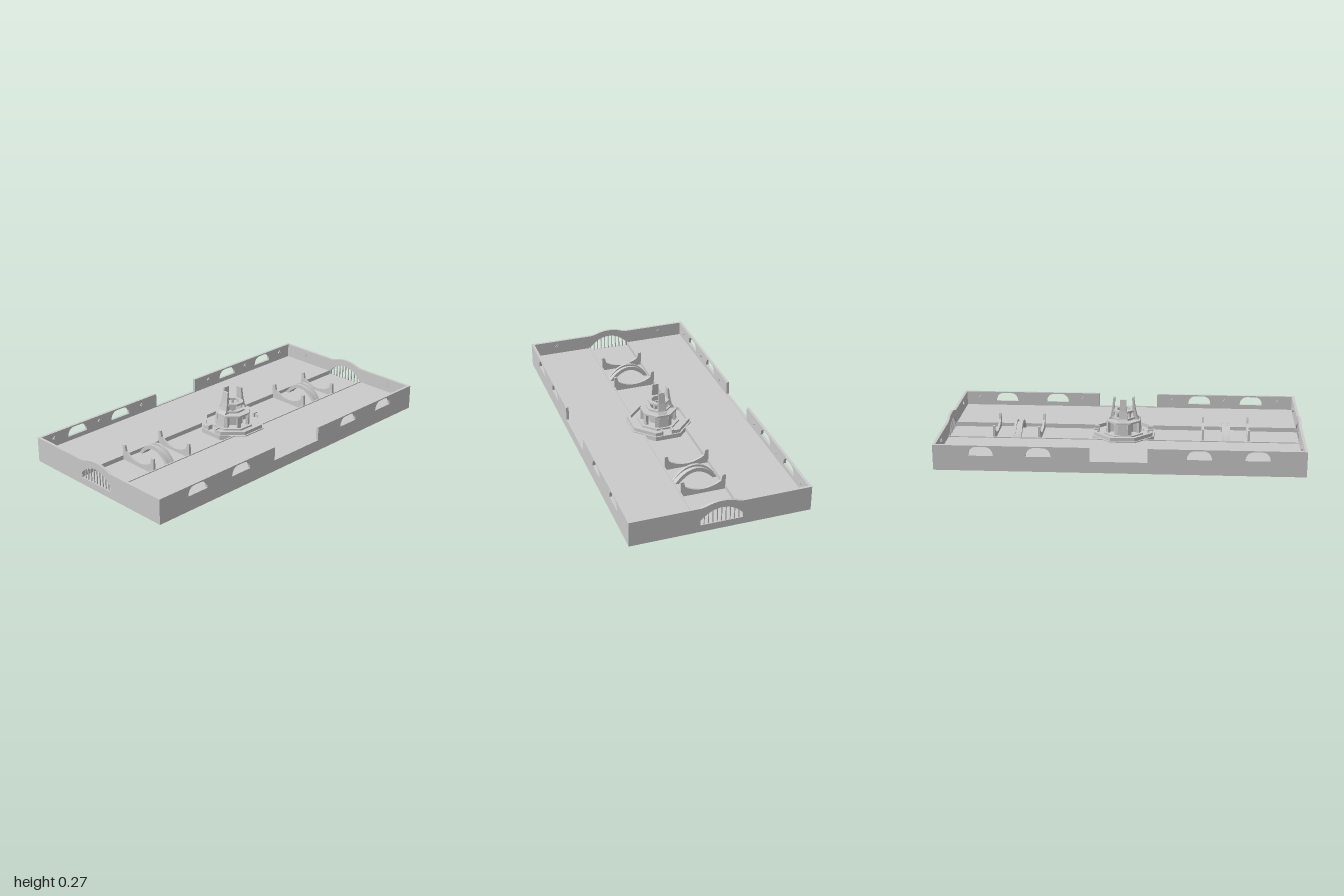
import * as THREE from 'three';

const material = new THREE.MeshStandardMaterial({ color: 0xcccccc, flatShading: true });
const T = 0.4142; // tan of 22.5 degrees

export function createModel() {
  const model = new THREE.Group();

  const add = (name, geometry, parent = model) => {
    const mesh = new THREE.Mesh(geometry, material);
    mesh.name = name;
    parent.add(mesh);
    return mesh;
  };
  const box = (name, w, h, d, x, y, z, parent) => {
    const mesh = add(name, new THREE.BoxGeometry(w, h, d), parent);
    mesh.position.set(x, y, z);
    return mesh;
  };
  const shapeOf = (pts) => new THREE.Shape(pts.map(([x, y]) => new THREE.Vector2(x, y)));
  const extrude = (shape, depth) =>
    new THREE.ExtrudeGeometry(shape, { depth, bevelEnabled: false, curveSegments: 10 });
  // Profile drawn across z and y, centred on x
  const across = (shape, width) => extrude(shape, width).translate(0, 0, -width / 2).rotateY(Math.PI / 2);
  // Plan drawn in x and z, rising from y0 to y1
  const upright = (shape, y0, y1) => extrude(shape, y1 - y0).rotateX(-Math.PI / 2).translate(0, y0, 0);
  const octagon = (a) => [[a, -a * T], [a, a * T], [a * T, a], [-a * T, a],
    [-a, a * T], [-a, -a * T], [-a * T, -a], [a * T, -a]];
  const octRing = (outer, inner, y0, y1) => {
    const shape = shapeOf(octagon(outer));
    if (inner) shape.holes.push(shapeOf(octagon(inner)));
    return upright(shape, y0, y1);
  };

  // Base slab with a sunken channel between two decks
  box('baseSlab', 1.98, 0.04, 0.97, 0, 0.02, 0);
  for (const s of [-1, 1]) {
    box('deck', 1.98, 0.02, 0.355, 0, 0.05, s * 0.3075);
    box('channelCurb', 1.97, 0.025, 0.008, 0, 0.0525, s * 0.126);
  }

  // Long walls: notched in the middle, with arched windows
  const windowHole = (x) => {
    const h = new THREE.Path();
    h.moveTo(x - 0.067, 0.085);
    h.lineTo(x + 0.067, 0.085);
    h.lineTo(x + 0.065, 0.1);
    h.quadraticCurveTo(x + 0.055, 0.135, x + 0.02, 0.135);
    h.lineTo(x - 0.02, 0.135);
    h.quadraticCurveTo(x - 0.055, 0.135, x - 0.065, 0.1);
    h.closePath();
    return h;
  };
  for (const s of [-1, 1]) {
    const gap = s > 0 ? 0.175 : 0.155;
    const wall = shapeOf([[-1, 0], [1, 0], [1, 0.142], [gap, 0.142], [gap, 0.064],
      [-gap, 0.064], [-gap, 0.142], [-1, 0.142]]);
    for (const x of [-0.74, -0.43, 0.43, 0.74]) wall.holes.push(windowHole(x));
    add(s > 0 ? 'frontWall' : 'backWall', extrude(wall, 0.015)).position.z = s > 0 ? 0.48 : -0.495;
  }

  // End walls: raised crown over a barred arch
  for (const s of [-1, 1]) {
    const wall = shapeOf([[-0.495, 0], [0.495, 0], [0.495, 0.142], [0.115, 0.142]]);
    wall.bezierCurveTo(0.075, 0.147, 0.06, 0.165, 0, 0.165);
    wall.bezierCurveTo(-0.06, 0.165, -0.075, 0.147, -0.115, 0.142);
    wall.lineTo(-0.495, 0.142);
    const arch = new THREE.Path();
    arch.moveTo(-0.115, 0.04);
    arch.lineTo(0.115, 0.04);
    arch.lineTo(0.115, 0.07);
    arch.bezierCurveTo(0.07, 0.115, 0.035, 0.126, 0, 0.126);
    arch.bezierCurveTo(-0.035, 0.126, -0.07, 0.115, -0.115, 0.07);
    arch.closePath();
    wall.holes.push(arch);
    add('endWall', across(wall, 0.015)).position.x = s * 0.9925;
    for (let i = -4; i <= 4; i++) {
      const z = i * 0.0235;
      const h = 0.088 - 3.8 * z * z;
      box('grilleBar', 0.006, h, 0.005, s * 0.9925, 0.04 + h / 2, z);
    }
  }

  // Small fittings along the inside of the walls
  const fitting = (x, z, turn) => {
    const holder = new THREE.Group();
    holder.name = 'wallFitting';
    holder.position.set(x, 0.108, z);
    holder.rotation.y = turn;
    box('fittingPlate', 0.02, 0.02, 0.006, 0, 0, 0, holder).rotation.z = Math.PI / 4;
    box('fittingKnob', 0.008, 0.008, 0.01, 0, 0, 0, holder);
    model.add(holder);
  };
  for (const s of [-1, 1]) {
    for (const x of [-0.9, -0.585, -0.27, 0.27, 0.585, 0.9]) fitting(x, s * 0.477, 0);
    for (const z of [-0.335, 0.335]) fitting(s * 0.982, z, Math.PI / 2);
  }

  // Channel stations: a ribbed arch between two cradles
  const cradle = shapeOf([[-0.125, 0.04], [0.125, 0.04], [0.125, 0.128], [0.108, 0.128], [0.1, 0.095]]);
  cradle.quadraticCurveTo(0.06, 0.066, 0, 0.064);
  cradle.quadraticCurveTo(-0.06, 0.066, -0.1, 0.095);
  cradle.lineTo(-0.108, 0.128);
  cradle.lineTo(-0.125, 0.128);
  const archBand = (rise, thick) => {
    const s = shapeOf([[-0.122, 0.04]]);
    s.quadraticCurveTo(-0.065, rise, 0, rise);
    s.quadraticCurveTo(0.065, rise, 0.122, 0.04);
    s.lineTo(0.1, 0.04);
    s.quadraticCurveTo(0.05, rise - thick, 0, rise - thick);
    s.quadraticCurveTo(-0.05, rise - thick, -0.1, 0.04);
    return s;
  };
  for (const x of [-0.578, 0.598]) {
    const station = new THREE.Group();
    station.name = 'channelStation';
    station.position.x = x;
    for (const s of [-1, 1]) {
      add('cradle', across(cradle, 0.012), station).position.x = s * 0.128;
      add('archRib', across(archBand(0.124, 0.022), 0.014), station).position.x = s * 0.017;
    }
    add('archWeb', across(archBand(0.112, 0.01), 0.022), station);
    box('stationFloor', 0.25, 0.006, 0.24, 0, 0.043, 0, station);
    model.add(station);
  }

  // Central tower: stepped octagonal base and split parapet
  const tower = new THREE.Group();
  tower.name = 'tower';
  model.add(tower);
  add('towerBase', octRing(0.174, 0, 0.035, 0.066), tower);
  add('towerStep', octRing(0.11, 0, 0.066, 0.076), tower);
  const half = (a) => [[a, 0.028], [a, a * T], [a * T, a], [-a * T, a], [-a, a * T], [-a, 0.028]];
  for (const turn of [0, Math.PI]) {
    const rim = shapeOf([...half(0.166), ...half(0.148).reverse()]);
    add('parapet', upright(rim, 0.066, 0.086), tower).rotation.y = turn;
  }
  for (const s of [-1, 1]) for (const z of [-0.03, 0.03])
    box('gatePost', 0.03, 0.026, 0.01, s * 0.153, 0.079, z, tower);

  // Colonnade, roof ring, open drum and gallery
  for (let i = 0; i < 8; i++) {
    const a = (i + 0.5) * Math.PI / 4;
    box('column', 0.016, 0.064, 0.022, Math.cos(a) * 0.092, 0.108, Math.sin(a) * 0.092, tower).rotation.y = -a;
  }
  add('lowerRoof', octRing(0.095, 0.05, 0.138, 0.148), tower);
  add('drum', octRing(0.056, 0.044, 0.076, 0.165), tower);
  add('drumFloor', octRing(0.046, 0, 0.076, 0.1), tower);
  add('drumLip', octRing(0.066, 0.044, 0.156, 0.165), tower);
  add('gallery', octRing(0.057, 0.037, 0.192, 0.204), tower);
  for (let i = 0; i < 4; i++) {
    const a = (i + 0.5) * Math.PI / 2;
    box('galleryPost', 0.01, 0.03, 0.014, Math.cos(a) * 0.05, 0.178, Math.sin(a) * 0.05, tower).rotation.y = -a;
  }

  // Three tall tapering fins: both sides and back
  const finShape = shapeOf([[0.054, 0.076], [0.1, 0.076], [0.094, 0.14], [0.075, 0.165], [0.066, 0.21],
    [0.058, 0.274], [0.048, 0.274], [0.052, 0.2]]);
  for (const turn of [0, Math.PI / 2, Math.PI]) {
    const g = extrude(finShape, 0.06).translate(0, 0, -0.03);
    const p = g.attributes.position;
    for (let i = 0; i < p.count; i++) {
      p.setZ(i, p.getZ(i) * (1 - 0.42 * THREE.MathUtils.smoothstep(p.getY(i), 0.05, 0.28)));
    }
    g.computeVertexNormals();
    add('fin', g, tower).rotation.y = turn;
  }

  return model;
}
